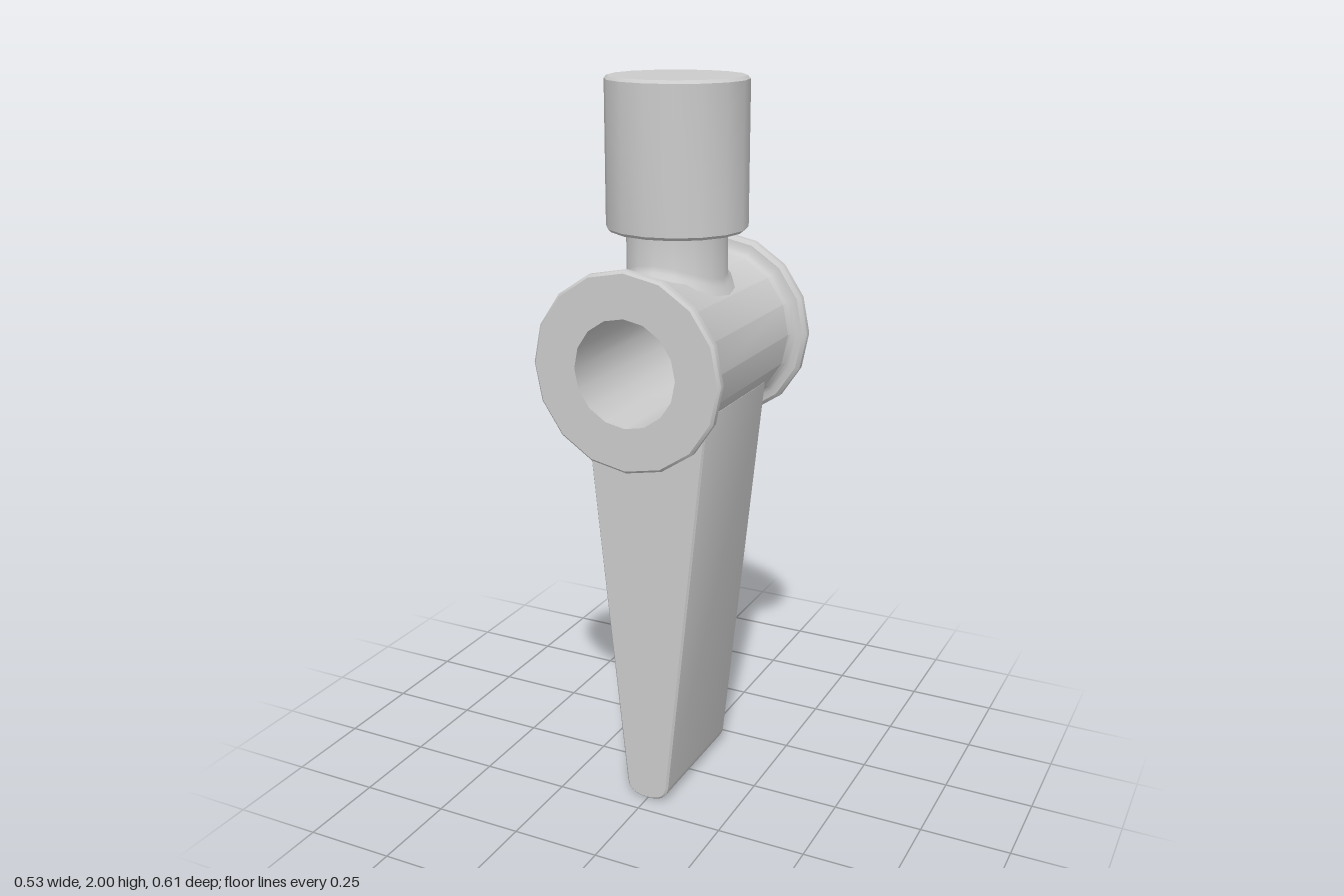
import * as THREE from 'three';
import { toCreasedNormals } from 'three/addons/utils/BufferGeometryUtils.js';

const SIDES = 16;
const BARREL_Y = 1.29;
const BARREL_R = 0.22;
const material = new THREE.MeshStandardMaterial({ color: 0xcccccc });

const lathe = (profile) =>
  new THREE.LatheGeometry(profile.map(([r, y]) => new THREE.Vector2(r, y)), SIDES);

function part(name, geometry, crease = 0.6) {
  const mesh = new THREE.Mesh(toCreasedNormals(geometry, crease), material);
  mesh.name = name;
  return mesh;
}

// Hollow barrel along z, with a bevelled flange and a small fillet at each end
function makeBarrel() {
  const half = [
    [0.143, 0.304], [0.258, 0.304], [0.265, 0.297], [0.265, 0.281],
    [0.255, 0.27], [0.238, 0.268], [0.226, 0.26], [BARREL_R, 0.25],
  ];
  const mirrored = half.map(([r, z]) => [r, -z]);
  const barrel = part('barrel', lathe([...mirrored, ...half.slice().reverse(), half[0], mirrored[0]]
    .filter((p, i, all) => i === 0 || p !== all[i - 1])));
  barrel.geometry.rotateX(Math.PI / 2);
  barrel.geometry.translate(0, BARREL_Y, 0);
  return barrel;
}

// Neck whose flared foot follows the curve of the barrel
function makeNeck() {
  const foot = [[0.158, -0.012], [0.15, 0.002], [0.139, 0.01], [0.134, 0.025]];
  const geometry = lathe([...foot, [0.134, 1.63]]);
  const pos = geometry.attributes.position;
  for (let i = 0; i < pos.count; i++) {
    if (pos.getY(i) > 1) continue;
    const x = pos.getX(i);
    pos.setY(i, pos.getY(i) + BARREL_Y + Math.sqrt(BARREL_R ** 2 - x * x));
  }
  return part('neck', geometry, 0.9);
}

// Wide cylindrical cap with softened rims
function makeCap() {
  return part('cap', lathe([
    [0, 1.61], [0.179, 1.61], [0.187, 1.618], [0.187, 1.992], [0.179, 2], [0, 2],
  ]));
}

// Tapered blade, rounded at the tip and hollowed at the top to hug the barrel
function makeBlade() {
  const shape = new THREE.Shape();
  shape.moveTo(-0.179, 1.165);
  shape.lineTo(-0.064, 0.045);
  shape.bezierCurveTo(-0.06, 0.015, -0.04, 0, 0, 0);
  shape.bezierCurveTo(0.04, 0, 0.06, 0.015, 0.064, 0.045);
  shape.lineTo(0.179, 1.165);
  shape.quadraticCurveTo(0, 1.05, -0.179, 1.165);
  const bevel = 0.006;
  const geometry = new THREE.ExtrudeGeometry(shape, {
    depth: 0.39 - 2 * bevel, curveSegments: 6,
    bevelThickness: bevel, bevelSize: bevel, bevelOffset: -bevel, bevelSegments: 1,
  });
  geometry.translate(0, 0, -0.195 + bevel);
  return part('blade', geometry);
}

export function createModel() {
  const model = new THREE.Group();
  model.name = 'valveKey';
  model.add(makeBarrel(), makeNeck(), makeCap(), makeBlade());
  return model;
}
